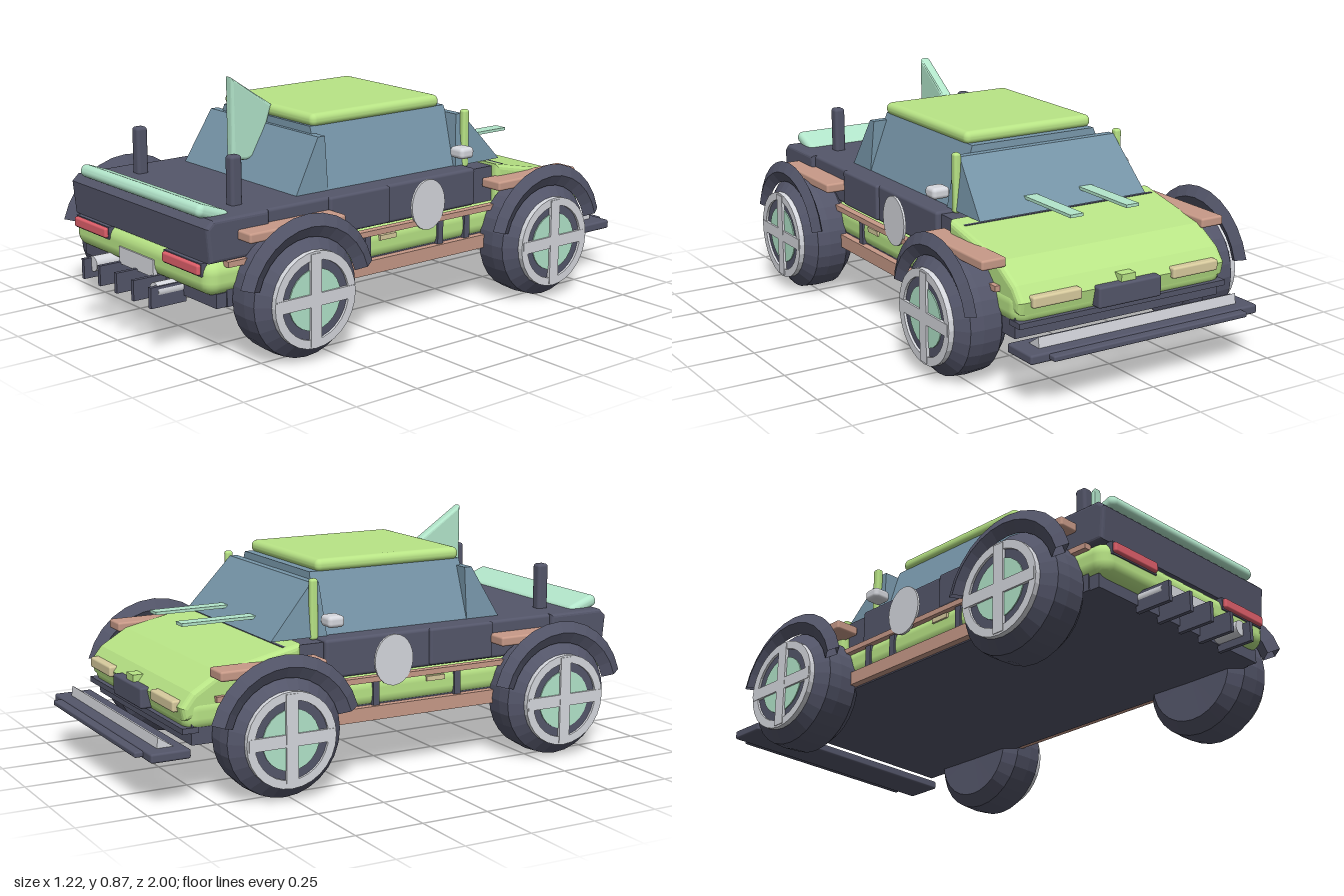
import * as THREE from 'three';
import { RoundedBoxGeometry } from 'three/addons/geometries/RoundedBoxGeometry.js';

const mat = (name, color) => {
  const m = new THREE.MeshStandardMaterial({ color });
  m.name = name;
  return m;
};

export function createModel() {
  const car = new THREE.Group();
  car.name = 'car';
  const green = mat('lime paint', 0xb9e586);
  const dark = mat('dark slate', 0x54566a);
  const mint = mat('mint', 0xb3e6cb);
  const blue = mat('blue glass', 0x7695a8);
  const brown = mat('copper trim', 0xc89a88);
  const red = mat('red lamp', 0xdf5f6a);
  const grey = mat('light grey', 0xd6d8de);
  const cream = mat('cream lamp', 0xd8cb9e);
  dark.side = THREE.DoubleSide; // the arches have open ends

  const add = (name, geo, material, parent = car) => {
    const m = new THREE.Mesh(geo, material);
    m.name = name;
    parent.add(m);
    return m;
  };
  // Box given by its limits on each axis, with optional rounding
  const box = (name, material, [x0, x1], [y0, y1], [z0, z1], r = 0, parent = car) => {
    const w = x1 - x0, h = y1 - y0, d = z1 - z0;
    const g = r ? new RoundedBoxGeometry(w, h, d, 3, r) : new THREE.BoxGeometry(w, h, d);
    const m = add(name, g, material, parent);
    m.position.set((x0 + x1) / 2, (y0 + y1) / 2, (z0 + z1) / 2);
    return m;
  };
  // The same box on both sides
  const pair = (name, material, [x0, x1], y, z, r = 0) => {
    box(name + 'Left', material, [x0, x1], y, z, r);
    box(name + 'Right', material, [-x1, -x0], y, z, r);
  };
  // Side profile of [z, y] points extruded across the car
  const prism = (name, material, pts, width, bevel = 0) => {
    const shape = new THREE.Shape(pts.map(([z, y]) => new THREE.Vector2(z, y)));
    const g = new THREE.ExtrudeGeometry(shape, {
      depth: width - 2 * bevel, bevelEnabled: bevel > 0, bevelSize: bevel,
      bevelThickness: bevel, bevelOffset: -bevel, bevelSegments: 3,
    });
    g.translate(0, 0, -(width - 2 * bevel) / 2).rotateY(-Math.PI / 2);
    return add(name, g, material);
  };
  // Box with different rectangles [half width, rear z, front z] at bottom and top
  const frustum = (name, material, y0, y1, bottom, top) => {
    const g = new THREE.BoxGeometry(2, 2, 2), p = g.attributes.position;
    for (let i = 0; i < p.count; i++) {
      const up = p.getY(i) > 0, [hx, zb, zf] = up ? top : bottom;
      p.setXYZ(i, p.getX(i) * hx, up ? y1 : y0, p.getZ(i) > 0 ? zb : zf);
    }
    g.computeVertexNormals();
    return add(name, g, material);
  };

  // Lower body
  box('chassis', dark, [-0.425, 0.425], [0.195, 0.27], [-0.805, 0.83]);
  box('lowerBody', green, [-0.435, 0.435], [0.235, 0.36], [-0.83, 0.91], 0.05);
  pair('sideRail', brown, [0.42, 0.452], [0.2, 0.25], [-0.42, 0.5]);
  pair('beltTrim', brown, [0.42, 0.449], [0.337, 0.357], [-0.72, 0.84]);
  for (const z of [0.24, -0.1, -0.23])
    pair('sideRib', dark, [0.42, 0.442], [0.25, 0.335], [z - 0.013, z + 0.013]);
  pair('sideMarker', cream, [0.42, 0.442], [0.312, 0.33], [0.11, 0.185]);

  // Upper body and tail
  box('upperBody', dark, [-0.42, 0.42], [0.36, 0.5], [-0.29, 0.68], 0.012);
  box('cowl', dark, [-0.4, 0.4], [0.35, 0.49], [-0.45, -0.27]);
  prism('tailDeck', dark, [[0.66, 0.355], [0.9, 0.355], [0.912, 0.475], [0.885, 0.5], [0.66, 0.5]], 0.87, 0.012);
  pair('sideScoop', dark, [0.38, 0.432], [0.365, 0.5], [0.13, 0.4], 0.01);

  // Sloping bonnet
  prism('bonnet', green,
    [[-0.39, 0.3], [-0.39, 0.5], [-0.7, 0.435], [-0.8, 0.375], [-0.84, 0.325], [-0.83, 0.28]].reverse(), 0.86, 0.02);

  // Cabin
  frustum('cabinGlass', blue, 0.49, 0.715, [0.345, 0.365, -0.29], [0.26, 0.355, -0.27]);
  frustum('windshield', blue, 0.5, 0.69, [0.353, -0.25, -0.47], [0.33, -0.27, -0.3]);
  frustum('rearWindow', blue, 0.495, 0.69, [0.343, 0.34, 0.482].map((v, i, a) => a[[0, 2, 1][i]]), [0.325, 0.37, 0.34]);
  box('roof', green, [-0.27, 0.27], [0.71, 0.757], [-0.245, 0.352], 0.022);
  pair('pillar', green, [0.33, 0.358], [0.49, 0.707], [-0.315, -0.285], 0.01);
  pair('mirror', grey, [0.355, 0.425], [0.54, 0.582], [-0.28, -0.215], 0.015);

  // Fin, bonnet blades, tail posts and spoiler
  prism('roofFin', mint, [[0.34, 0.755], [0.4, 0.58], [0.455, 0.565], [0.516, 0.573], [0.516, 0.872]].reverse(), 0.042, 0.012);
  pair('bonnetBlade', mint, [0.09, 0.143], [0.54, 0.551], [-0.71, -0.4]);
  pair('tailPost', dark, [0.272, 0.315], [0.48, 0.67], [0.682, 0.727], 0.012);
  const spoiler = box('spoiler', mint, [-0.383, 0.383], [0.482, 0.528], [0.78, 0.912], 0.021);
  spoiler.rotation.x = -0.36;

  // Rear lamps, plate, exhausts and diffuser
  pair('tailLampFrame', dark, [0.178, 0.4], [0.308, 0.354], [0.89, 0.915]);
  pair('tailLamp', red, [0.182, 0.398], [0.313, 0.35], [0.9, 0.928], 0.008);
  box('plate', grey, [-0.11, 0.11], [0.238, 0.3], [0.9, 0.916]);
  box('diffuserBase', dark, [-0.42, 0.42], [0.195, 0.245], [0.8, 0.87]);
  for (let i = -2; i <= 2; i++)
    box('diffuserFin', dark, [i * 0.109 - 0.008, i * 0.109 + 0.008], [0.172, 0.245], [0.86, 1]);
  for (const s of [-1, 1]) {
    const pipe = add('exhaust', new THREE.CylinderGeometry(0.028, 0.028, 0.13, 16).rotateX(Math.PI / 2), grey);
    pipe.position.set(s * 0.2, 0.225, 0.905);
  }

  // Nose: lamps, grille and splitter
  pair('headlamp', cream, [0.19, 0.385], [0.305, 0.345], [-0.855, -0.82], 0.008);
  box('grille', dark, [-0.13, 0.13], [0.26, 0.335], [-0.866, -0.82], 0.008);
  box('noseBlock', green, [-0.03, 0.03], [0.335, 0.36], [-0.852, -0.8]);
  box('noseBar', dark, [-0.43, 0.43], [0.238, 0.258], [-0.84, -0.78]);
  box('splitter', dark, [-0.47, 0.47], [0.165, 0.198], [-0.97, -0.826], 0.008);
  box('splitterLip', dark, [-0.4, 0.4], [0.172, 0.192], [-1, -0.96], 0.006);
  prism('splitterWedge', grey, [[-0.86, 0.195], [-0.925, 0.195], [-0.92, 0.235]].reverse(), 0.82);

  // Round side panels
  for (const s of [-1, 1]) {
    const disc = add('sideRoundel', new THREE.CylinderGeometry(0.078, 0.078, 0.009, 24).rotateZ(Math.PI / 2), grey);
    disc.scale.y = 1.19;
    disc.position.set(s * 0.4465, 0.409, -0.033);
  }

  // Wheels and arches
  const profile = [[0, 0.39], [0.172, 0.386], [0.213, 0.43], [0.217, 0.5], [0.213, 0.55], [0.155, 0.598], [0, 0.598]];
  const tyreGeo = new THREE.LatheGeometry(profile.map(([r, y]) => new THREE.Vector2(r, y)), 28)
    .rotateZ(-Math.PI / 2).toNonIndexed();
  tyreGeo.computeVertexNormals();
  const ringShape = new THREE.Shape().absarc(0, 0, 0.168, 0, Math.PI * 2, false);
  ringShape.holes.push(new THREE.Path().absarc(0, 0, 0.138, 0, Math.PI * 2, true));
  const ringGeo = new THREE.ExtrudeGeometry(ringShape, { depth: 0.022, bevelEnabled: false, curveSegments: 14 })
    .rotateY(Math.PI / 2).translate(0.585, 0, 0);
  const hubGeo = new THREE.CylinderGeometry(0.107, 0.107, 0.02, 24).rotateZ(Math.PI / 2).translate(0.592, 0, 0);
  const archGeo = new THREE.TorusGeometry(0.246, 0.04, 4, 12, Math.PI - 0.54)
    .rotateZ(0.27).rotateY(-Math.PI / 2).scale(0.56, 1, 1).toNonIndexed();
  archGeo.computeVertexNormals();

  for (const [end, z] of [['rear', 0.6], ['front', -0.52]]) {
    for (const s of [1, -1]) {
      const wheel = new THREE.Group();
      wheel.name = end + (s > 0 ? 'LeftWheel' : 'RightWheel');
      wheel.position.set(0, 0.219, z);
      wheel.rotation.y = s > 0 ? 0 : Math.PI;
      car.add(wheel);
      add('tyre', tyreGeo, dark, wheel);
      add('rimRing', ringGeo, grey, wheel);
      add('hubDisc', hubGeo, mint, wheel);
      box('spokeUpright', grey, [0.59, 0.61], [-0.16, 0.16], [-0.022, 0.022], 0, wheel);
      box('spokeLevel', grey, [0.59, 0.609], [-0.022, 0.022], [-0.16, 0.16], 0, wheel);
      const arch = add(end + 'Arch', archGeo, dark);
      arch.position.set(s * 0.565, 0.219, z);
    }
    pair(end + 'Flare', brown, [0.41, 0.505], [0.42, 0.455], [z - 0.21, z + 0.19], 0.008);
  }
  return car;
}
